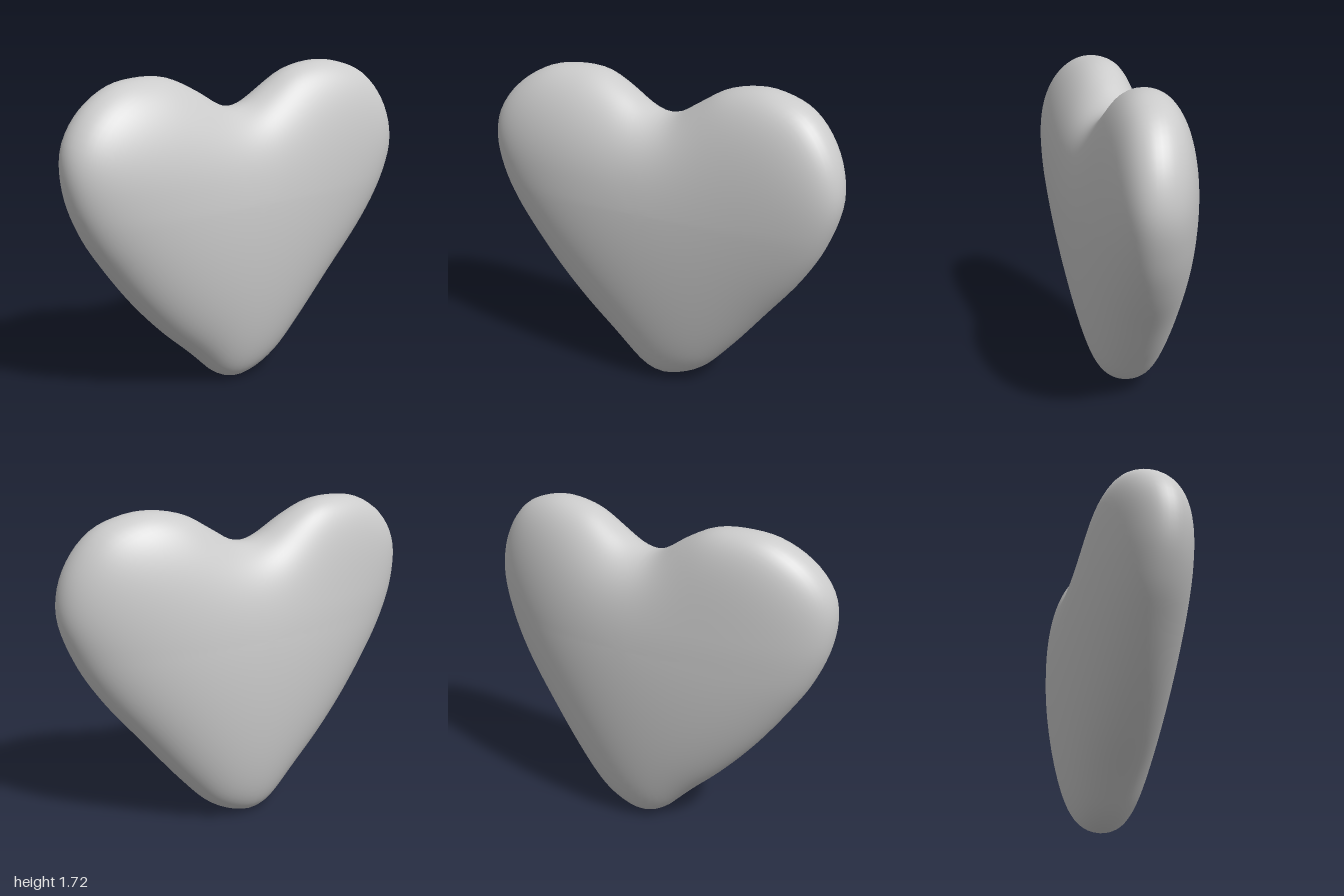
import * as THREE from 'three';

// Front outline, counterclockwise from the bottom tip
const OUTLINE = [
  [0.02, 0], [0.13, 0.03], [0.25, 0.1], [0.4, 0.26], [0.6, 0.51], [0.8, 0.77], [0.92, 0.98],
  [0.995, 1.22], [0.975, 1.4], [0.9, 1.55], [0.8, 1.65], [0.68, 1.7], [0.54, 1.72], [0.35, 1.685],
  [0.2, 1.6], [0.08, 1.53], [-0.02, 1.515], [-0.1, 1.54], [-0.23, 1.62], [-0.38, 1.69],
  [-0.52, 1.705], [-0.7, 1.68], [-0.87, 1.58], [-0.97, 1.45], [-1, 1.33], [-0.98, 1.15],
  [-0.9, 0.95], [-0.8, 0.79], [-0.63, 0.56], [-0.45, 0.36], [-0.29, 0.21], [-0.2, 0.12],
  [-0.14, 0.06], [-0.06, 0.012],
];
const CENTRE_Y = 1.05;
const HALF_DEPTH = 0.285;
const AROUND = 128;
const LAYERS = 48;

// Mid-surface of the cushion: lobes curve forward, the tip and the top of the right lobe lean back
function midZ(x, y) {
  const bow = 0.07 * x * x - 0.03 * x * (1 - x * x);
  const tipLean = 0.02 * Math.max(0, 1 - y / CENTRE_Y);
  const lobeLean = 0.2 * Math.max(0, y - 1.2) ** 2 * THREE.MathUtils.smoothstep(-x, -0.2, 0.4);
  return bow - tipLean - lobeLean;
}

// Smooth distance to the rim: the inverse distance averaged over all directions
function rimDistance(rim, x, y) {
  let sum = 0;
  rim.forEach((p, i) => {
    const q = rim[(i + 1) % rim.length];
    const length = Math.hypot(q.x - p.x, q.y - p.y);
    const [ux, uy] = [(q.x - p.x) / length, (q.y - p.y) / length];
    const [px, py, qx, qy] = [p.x - x, p.y - y, q.x - x, q.y - y];
    const h = px * uy - py * ux;
    if (Math.abs(h) < 1e-6) return;
    sum += ((qx * ux + qy * uy) / Math.hypot(qx, qy) - (px * ux + py * uy) / Math.hypot(px, py)) / h;
  });
  return 1 / sum;
}

// Concentric rings of the outline, swept from the back pole over the rim to the front pole
function heartGeometry() {
  const curve = new THREE.CatmullRomCurve3(
    OUTLINE.map(([x, y]) => new THREE.Vector3(x, y, 0)), true);
  const rim = curve.getSpacedPoints(AROUND).slice(0, AROUND);
  const points = [];
  const indices = [];

  const addPoint = (x, y, side) =>
    points.push({ x, y, side, puff: side === 0 ? 0 : rimDistance(rim, x, y) });
  addPoint(0, CENTRE_Y, -1);
  for (let j = 1; j < LAYERS; j++) {
    const s = Math.cos(-Math.PI / 2 + (Math.PI * j) / LAYERS);
    for (const p of rim) {
      addPoint(p.x * s, CENTRE_Y + (p.y - CENTRE_Y) * s, Math.sign(j - LAYERS / 2));
    }
  }
  addPoint(0, CENTRE_Y, 1);

  // Inflate evenly away from the rim
  const peak = Math.max(...points.map((p) => p.puff));
  const positions = points.flatMap(({ x, y, side, puff }) =>
    [x, y, midZ(x, y) + side * HALF_DEPTH * (puff / peak) ** 0.48]);

  const last = points.length - 1;
  const at = (j, i) => 1 + (j - 1) * AROUND + (i % AROUND);
  for (let i = 0; i < AROUND; i++) {
    indices.push(0, at(1, i + 1), at(1, i));
    for (let j = 1; j < LAYERS - 1; j++) {
      const [a, b, c, d] = [at(j, i), at(j, i + 1), at(j + 1, i + 1), at(j + 1, i)];
      indices.push(a, b, c, a, c, d);
    }
    indices.push(last, at(LAYERS - 1, i), at(LAYERS - 1, i + 1));
  }

  const geometry = new THREE.BufferGeometry();
  geometry.setAttribute('position', new THREE.Float32BufferAttribute(positions, 3));
  geometry.setIndex(indices);
  geometry.computeVertexNormals();
  return geometry;
}

export function createModel() {
  const group = new THREE.Group();
  group.name = 'heart';
  const body = new THREE.Mesh(
    heartGeometry(),
    new THREE.MeshStandardMaterial({ color: 0xcccccc }));
  body.name = 'heartBody';
  group.add(body);
  return group;
}
